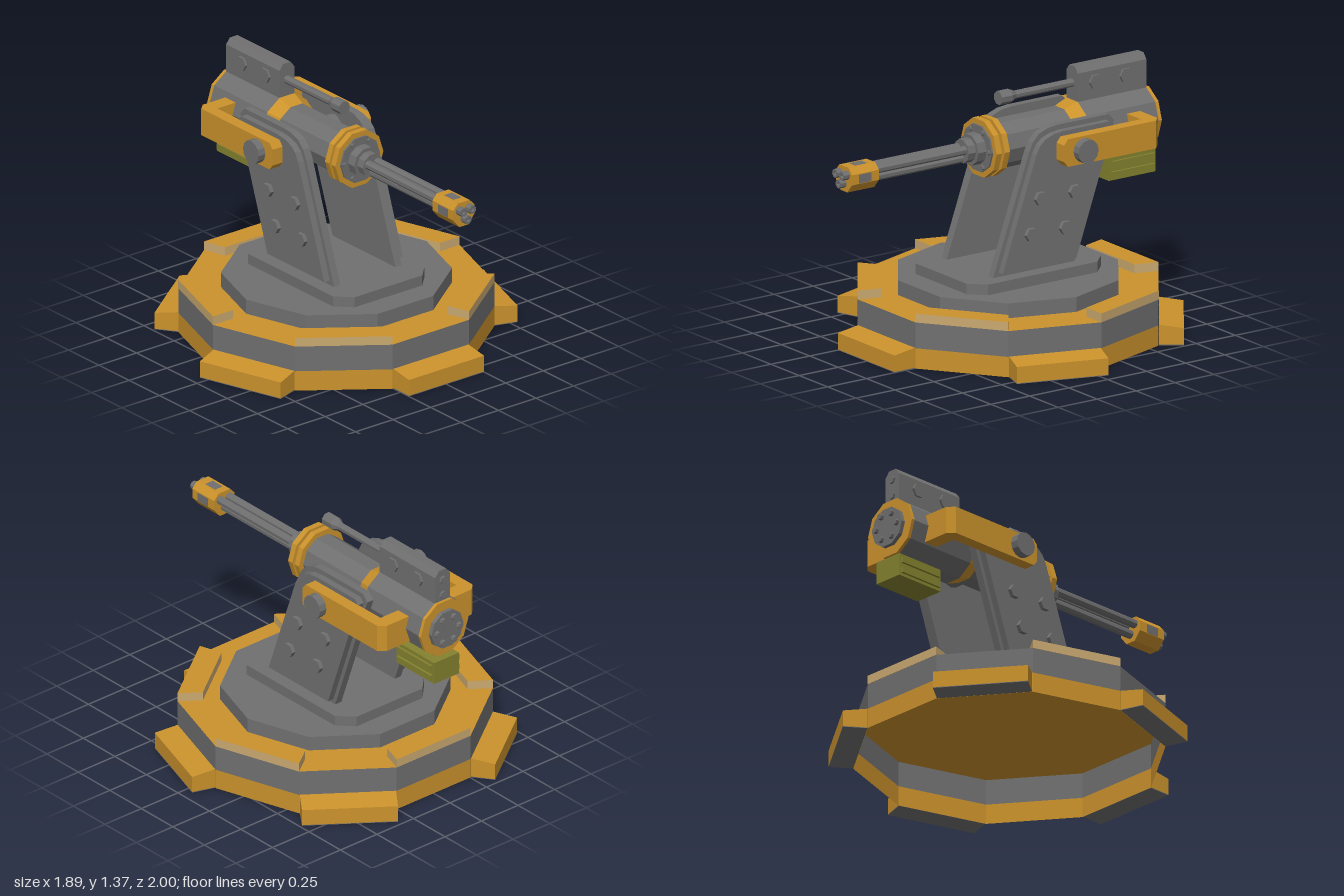
import * as THREE from 'three';

const mat = (name, color, side = THREE.FrontSide) => {
  const m = new THREE.MeshStandardMaterial({ color, side });
  m.name = name;
  return m;
};

export function createModel() {
  const root = new THREE.Group();
  root.name = 'mountedGun';
  const grey = mat('steelGrey', 0x707070);
  const yellow = mat('safetyYellow', 0xcb922c);
  const tan = mat('paleTan', 0xcaa970);
  const green = mat('oliveGreen', 0x84822e);
  const greyShell = mat('steelGreyShell', 0x707070, THREE.DoubleSide);
  const yellowShell = mat('safetyYellowShell', 0xcb922c, THREE.DoubleSide);

  const D = Math.PI / 180, CZ = -0.09, AY = 1.03;

  // Faceted mesh
  const add = (name, geo, material, x = 0, y = 0, z = 0) => {
    const g = geo.index ? geo.toNonIndexed() : geo;
    g.computeVertexNormals();
    const m = new THREE.Mesh(g, material);
    m.name = name;
    m.position.set(x, y, z);
    root.add(m);
    return m;
  };
  const box = (name, material, x0, x1, y0, y1, z0, z1) =>
    add(name, new THREE.BoxGeometry(x1 - x0, y1 - y0, z1 - z0), material,
      (x0 + x1) / 2, (y0 + y1) / 2, (z0 + z1) / 2);
  const polygon = pts => new THREE.Shape(pts.map(p => new THREE.Vector2(p[0], p[1])));
  const extrude = (pts, depth) =>
    new THREE.ExtrudeGeometry(polygon(pts), { depth, bevelEnabled: false });
  // Plan outline given as (x, -z), raised from y0 to y1
  const plan = (pts, y0, y1) => extrude(pts, y1 - y0).rotateX(-90 * D).translate(0, y0, 0);
  // Side outline given as (z, y), running from x0 to x1
  const side = (pts, x0, x1) => extrude(pts, x1 - x0).rotateY(-90 * D).translate(x1, 0, 0);
  // Cylinder along z; rF is the front radius
  const rodZ = (name, material, rF, rB, z0, z1, x = 0, y = AY, n = 10) =>
    add(name, new THREE.CylinderGeometry(rF, rB, z1 - z0, n, 1, false, 18 * D).rotateX(90 * D),
      material, x, y, (z0 + z1) / 2);
  const rodX = (name, material, r, x0, x1, y, z, n = 6) =>
    add(name, new THREE.CylinderGeometry(r, r, x1 - x0, n).rotateZ(90 * D), material, (x0 + x1) / 2, y, z);
  const decagon = (r, h, open) => new THREE.CylinderGeometry(r, r, h, 10, 1, open, 18 * D);

  // Hollow ten-sided base
  add('lowerBaseWall', decagon(0.82, 0.11, true), yellowShell, 0, 0.055, CZ);
  add('upperBaseWall', decagon(0.82, 0.14, true), greyShell, 0, 0.18, CZ);
  add('baseDeck', new THREE.CircleGeometry(0.82, 10).rotateX(-90 * D), yellowShell, 0, 0.25, CZ);
  add('turntable', decagon(0.6, 0.08, false), grey, 0, 0.293, CZ);

  // Five feet, alternating with five raised deck plates
  for (let i = 0; i < 5; i++) {
    const t = i * 72 * D;
    const foot = extrude([[0.781, 0.004], [0.91, 0.004], [0.91, 0.093], [0.781, 0.112]], 0.5)
      .translate(0, 0, -0.25).rotateY(t - 90 * D);
    add('foot', foot, yellow, 0, 0, CZ);
    add('footSole', new THREE.BoxGeometry(0.5, 0.004, 0.129).translate(0, 0.002, 0.8455).rotateY(t), grey, 0, 0, CZ);
    const plate = plan([[-0.253, -0.781], [0.253, -0.781], [0.213, -0.655], [-0.213, -0.655]], 0.25, 0.298)
      .rotateY(t + 36 * D);
    add('deckPlate', plate, [yellow, tan], 0, 0, CZ);
  }

  // Chamfered mounting plate
  const a = 0.305, b = 0.43, c = 0.08;
  add('mountingPlate', plan([[-a + c, -b], [a - c, -b], [a, -b + c], [a, b - c],
    [a - c, b], [-a + c, b], [-a, b - c], [-a, -b + c]], 0.333, 0.39), grey, 0, 0, CZ);

  // Slanted support arms, each with an outer layer and bolts
  const armOuter = [[0.17, 0.39], [-0.06, 1.03], [-0.085, 1.08], [-0.125, 1.12], [-0.18, 1.14],
    [-0.24, 1.147], [-0.57, 1.147], [-0.605, 1.11], [-0.35, 0.39]].reverse();
  const armInner = [[0.135, 0.415], [-0.08, 1.02], [-0.105, 1.065], [-0.14, 1.095], [-0.19, 1.113],
    [-0.25, 1.12], [-0.55, 1.12], [-0.575, 1.095], [-0.335, 0.415]].reverse();
  const span = (s, lo, hi) => (s > 0 ? [lo, hi] : [-hi, -lo]);
  for (const s of [-1, 1]) {
    add('supportArm', side(armOuter, ...span(s, 0.183, 0.225)), grey);
    add('supportArmLayer', side(armInner, ...span(s, 0.225, 0.262)), grey);
    for (const [z, y] of [[-0.1, 0.785], [-0.32, 0.785], [-0.04, 0.6], [-0.26, 0.6]])
      rodX('armBolt', grey, 0.038, ...span(s, 0.255, 0.284), y, z);
    // Yellow cradle arm
    add('cradleArm', side([[-0.7, 0.945], [-0.235, 0.945], [-0.21, 0.975], [-0.21, 1.065],
      [-0.235, 1.095], [-0.7, 1.095]], ...span(s, 0.26, 0.328)), yellow);
  }
  rodX('pivotShaft', grey, 0.065, -0.372, 0.372, 1.02, -0.335, 12);
  add('cradleBack', plan([[0.328, 0.7], [0.328, 0.8], [0.29, 0.835], [-0.29, 0.835], [-0.328, 0.8],
    [-0.328, 0.7], [-0.26, 0.7], [-0.26, 0.75], [0.26, 0.75], [0.26, 0.7]], 0.945, 1.095), yellow);

  // Gun body
  rodZ('frontHousing', grey, 0.13, 0.13, -0.45, 0.11);
  rodZ('housingCone', yellow, 0.131, 0.16, -0.5, -0.42);
  rodZ('rearHousing', grey, 0.16, 0.16, -0.94, -0.5);
  rodZ('rearRing', yellow, 0.163, 0.163, -0.957, -0.938);
  rodZ('rearCap', grey, 0.11, 0.11, -0.98, -0.95);
  for (const z of [0.014, 0.066]) rodZ('frontRing', yellow, 0.16, 0.16, z, z + 0.034);
  rodZ('largeCollar', grey, 0.085, 0.085, 0.1, 0.163);
  rodZ('smallCollar', grey, 0.065, 0.065, 0.16, 0.21);
  for (let i = 0; i < 6; i++) {
    const x = Math.cos(i * 60 * D), y = Math.sin(i * 60 * D);
    rodZ('rearCapBolt', grey, 0.017, 0.017, -1, -0.975, x * 0.075, AY + y * 0.075, 6);
    rodZ('frontBolt', grey, 0.013, 0.013, 0.105, 0.122, x * 0.108, AY + y * 0.108, 6);
  }

  // Three barrels with hollow-looking mouths and a muzzle clamp
  for (const [x, y] of [[-0.03, 1.042], [0.03, 1.042], [0, 0.992]]) {
    rodZ('barrel', grey, 0.024, 0.024, 0.15, 0.985, x, y, 8);
    const mouth = [[0.012, 0], [0.024, 0], [0.024, 0.03], [0.012, 0.03], [0.012, 0]]
      .map(p => new THREE.Vector2(...p));
    add('barrelMouth', new THREE.LatheGeometry(mouth, 8, 18 * D).rotateX(90 * D), greyShell, x, y, 0.97);
  }
  add('muzzleClamp', extrude([[-0.03, 0.947], [0.03, 0.947], [0.07, 0.995], [0.07, 1.05], [0.04, 1.083],
    [-0.04, 1.083], [-0.07, 1.05], [-0.07, 0.995]], 0.173), yellow, 0, 0, 0.79);
  box('clampTopWindow', grey, -0.025, 0.025, 1.08, 1.085, 0.835, 0.91);
  for (const s of [-1, 1])
    box('clampSideWindow', grey, s * 0.07 - 0.002, s * 0.07 + 0.002, 0.998, 1.045, 0.84, 0.918);

  // Upper auxiliary gun
  add('upperHousing', extrude([[-0.05, 1.15], [0.05, 1.15], [0.05, 1.335], [0.025, 1.367],
    [-0.025, 1.367], [-0.05, 1.335]], 0.44), grey, 0, 0, -0.94);
  for (const z of [-0.61, -0.805]) rodX('upperBolt', grey, 0.04, -0.062, 0.062, 1.275, z);
  for (const y of [1.22, 1.31]) rodZ('upperRearBolt', grey, 0.022, 0.022, -0.952, -0.935, 0, y, 6);
  rodZ('upperBarrel', grey, 0.022, 0.022, -0.5, -0.1, 0, 1.275, 8);
  rodZ('upperMuzzleTaper', grey, 0.038, 0.022, -0.13, -0.095, 0, 1.275, 8);
  rodZ('upperMuzzle', grey, 0.038, 0.038, -0.095, -0.025, 0, 1.275, 8);

  // Ammunition box slung under the rear
  box('ammoNeck', green, -0.035, 0.035, 0.84, 0.9, -0.91, -0.73);
  box('ammoBox', green, -0.085, 0.085, 0.731, 0.855, -0.973, -0.674);
  for (const y of [0.763, 0.82]) box('ammoRib', green, -0.098, 0.098, y - 0.016, y + 0.016, -0.96, -0.688);

  return root;
}
